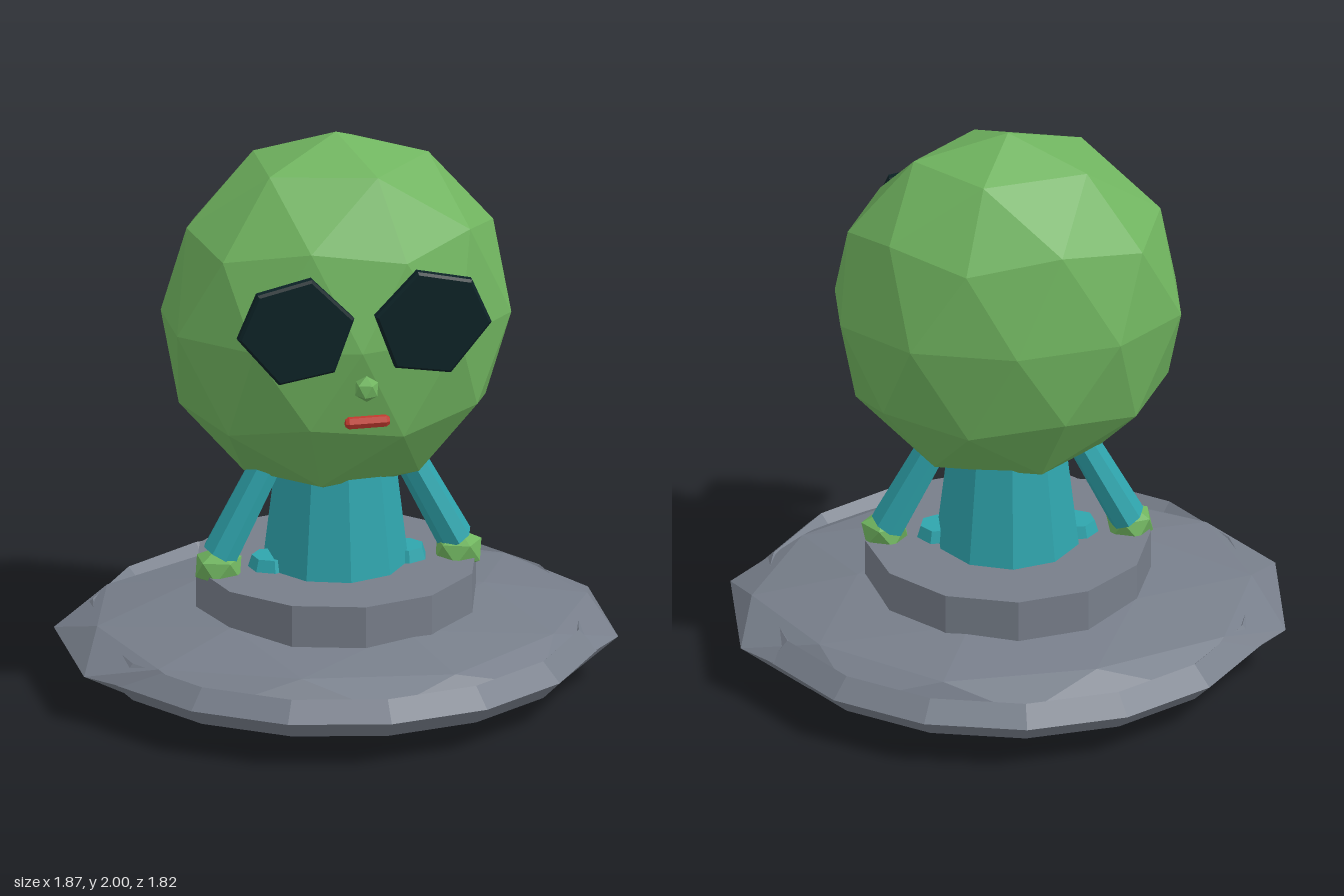
import * as THREE from 'three';

export function createModel() {
  const model = new THREE.Group();
  const mat = (name, color) => {
    const m = new THREE.MeshStandardMaterial({ color, flatShading: true });
    m.name = name;
    return m;
  };
  const skin = mat('green skin', 0x70b45f);
  const suit = mat('teal suit', 0x2fa5ad);
  const metal = mat('grey metal', 0x777e8a);
  const black = mat('dark eye', 0x0c2226);
  const red = mat('red mouth', 0xc23a2e);

  const add = (name, geo, material, x = 0, y = 0, z = 0) => {
    const mesh = new THREE.Mesh(geo, material);
    mesh.name = name;
    mesh.position.set(x, y, z);
    model.add(mesh);
    return mesh;
  };

  // Faceted ball with one vertex pointing straight up
  const ball = (rx, ry, rz, detail) => {
    const g = new THREE.IcosahedronGeometry(1, detail);
    g.rotateZ(-Math.atan(2 / (1 + Math.sqrt(5))));
    g.scale(rx, ry, rz);
    g.computeVertexNormals();
    return g;
  };

  // Saucer: lens hull, four-sided ring rim, raised deck and small studs below
  add('saucerHull', ball(0.983, 0.165, 0.8, 1), metal, 0, 0.17, 0);
  const rim = new THREE.TorusGeometry(0.845, 0.067, 4, 16);
  rim.rotateX(Math.PI / 2);
  add('saucerRim', rim, metal, 0, 0.168, 0);
  add('saucerDeck', new THREE.CylinderGeometry(0.49, 0.49, 0.24, 12), metal, 0, 0.32, 0);
  for (const [x, z] of [[0.76, 0], [-0.76, 0], [0, 0.65], [0, -0.65]]) {
    add('saucerStud', ball(0.03, 0.03, 0.03, 0), metal, x, 0.095, z);
  }

  // Body and head
  add('body', new THREE.CylinderGeometry(0.19, 0.252, 0.52, 10), suit, 0, 0.68, 0);
  add('head', ball(0.615, 0.655, 0.435, 1), skin, 0, 1.345, 0);
  add('nose', ball(0.045, 0.047, 0.045, 0), skin, 0, 1.243, 0.5);

  // Mouth: short six-sided bar with tapered ends
  const mouth = new THREE.LatheGeometry(
    [[0, -0.08], [0.014, -0.077], [0.022, -0.065], [0.022, 0.065], [0.014, 0.077], [0, 0.08]]
      .map(([r, y]) => new THREE.Vector2(r, y)), 6);
  mouth.rotateZ(Math.PI / 2);
  mouth.scale(1, 1, 0.8);
  add('mouth', mouth, red, 0, 1.127, 0.512);

  const eyeOutline = [[0.444, 1.444], [0.376, 1.603], [0.185, 1.646],
    [0.037, 1.492], [0.106, 1.302], [0.301, 1.27]];
  const up = new THREE.Vector3(0, 1, 0);

  for (const s of [-1, 1]) {
    const side = s > 0 ? 'left' : 'right';

    // Eye: six-sided plate with a small bevel
    const shape = new THREE.Shape(eyeOutline.map(([x, y]) => new THREE.Vector2(s * x, y)));
    const eye = new THREE.ExtrudeGeometry(shape, {
      depth: 0.024, bevelEnabled: true, bevelThickness: 0.009,
      bevelSize: 0.009, bevelOffset: -0.009, bevelSegments: 1,
    });
    add(side + 'Eye', eye, black, 0, 0, 0.448);

    // Arm: tapered prism running from under the head to the hand
    const from = new THREE.Vector3(s * 0.21, 0.88, 0.01);
    const to = new THREE.Vector3(s * 0.41, 0.495, 0.02);
    const dir = from.clone().sub(to);
    const armGeo = new THREE.CylinderGeometry(0.07, 0.084, dir.length(), 8);
    armGeo.scale(0.75, 1, 1);
    const arm = add(side + 'Arm', armGeo, suit);
    arm.position.copy(from).add(to).multiplyScalar(0.5);
    arm.quaternion.setFromUnitVectors(up, dir.normalize());

    add(side + 'Hand', ball(0.09, 0.072, 0.09, 0), skin, s * 0.42, 0.457, 0.04);

    // Folded leg just showing above the deck
    add(side + 'Leg', new THREE.CylinderGeometry(0.065, 0.09, 0.08, 7), suit, s * 0.235, 0.442, 0.03);
  }

  return model;
}
